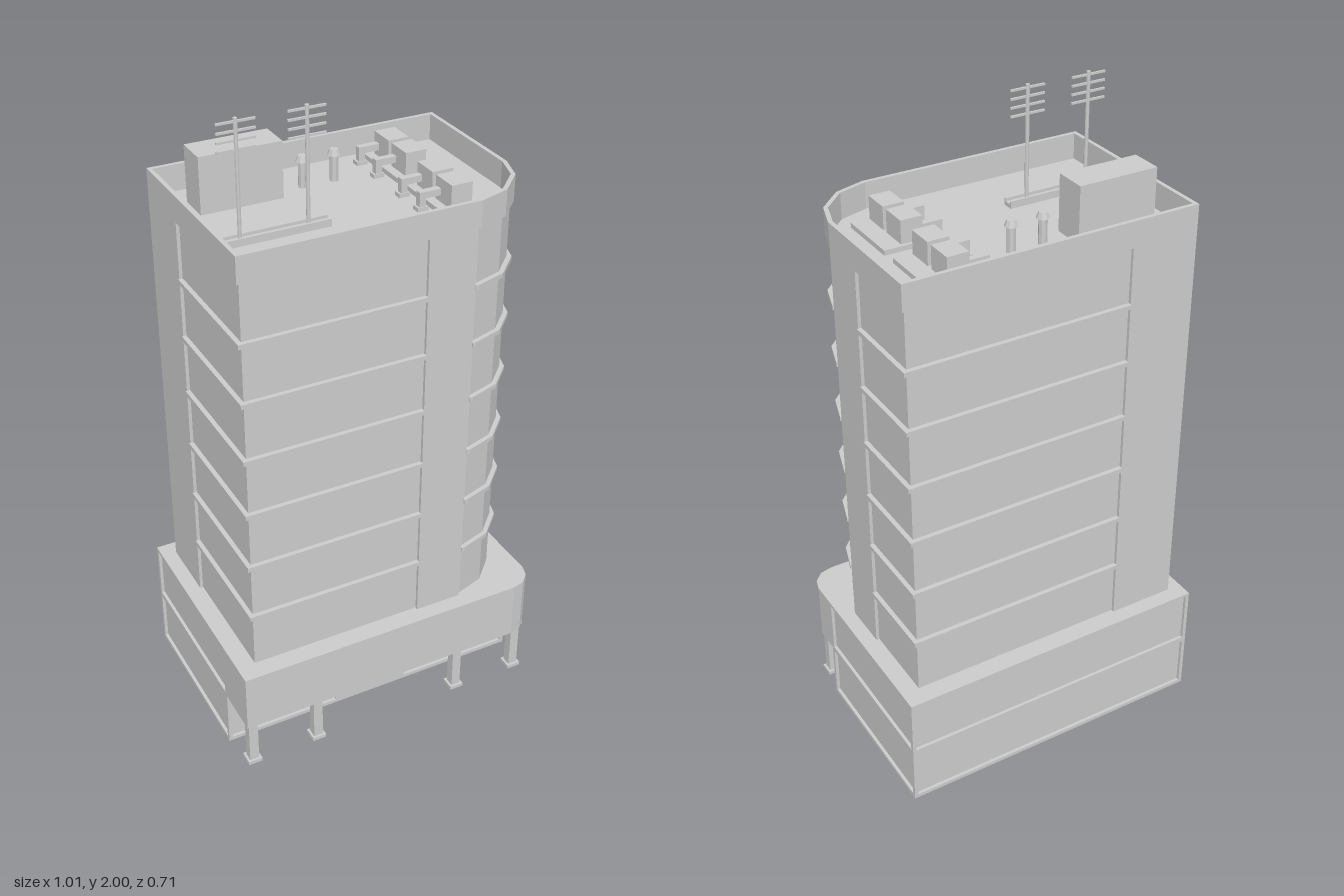
import * as THREE from 'three';

const mat = new THREE.MeshStandardMaterial({ color: 0xcccccc, flatShading: true });
const ROOF = 1.65;

// Outlines are [x, z] points, walked left side -> front -> right side -> back.
const curve = [[0.26, 0.305], [0.355, 0.275], [0.43, 0.2], [0.458, 0.11]];
const tower = [[-0.458, -0.305], [-0.458, 0.305], ...curve, [0.458, -0.305]];

// Moves an outline outwards by d (negative = inwards), with mitred corners.
function offset(pts, d, closed = false) {
  const n = pts.length;
  const normal = (a, b) => {
    const dx = b[0] - a[0], dz = b[1] - a[1], l = Math.hypot(dx, dz);
    return [-dz / l, dx / l];
  };
  return pts.map((p, i) => {
    const prev = closed || i > 0 ? pts[(i + n - 1) % n] : null;
    const next = closed || i < n - 1 ? pts[(i + 1) % n] : null;
    const a = prev ? normal(prev, p) : normal(p, next);
    const b = next ? normal(p, next) : a;
    const k = d / (1 + a[0] * b[0] + a[1] * b[1]);
    return [p[0] + (a[0] + b[0]) * k, p[1] + (a[1] + b[1]) * k];
  });
}

const toVectors = (pts) => pts.map(([x, z]) => new THREE.Vector2(x, -z));

function add(parent, name, geometry, x = 0, y = 0, z = 0) {
  const mesh = new THREE.Mesh(geometry, mat);
  mesh.name = name;
  mesh.position.set(x, y, z);
  parent.add(mesh);
  return mesh;
}

// Upright prism over an outline, optionally with a hole.
function prism(parent, name, pts, y0, y1, hole) {
  const shape = new THREE.Shape(toVectors(pts));
  if (hole) shape.holes.push(new THREE.Path(toVectors(hole)));
  const g = new THREE.ExtrudeGeometry(shape, { depth: y1 - y0, bevelEnabled: false });
  g.rotateX(-Math.PI / 2);
  return add(parent, name, g, 0, y0, 0);
}

// Strip that follows an open outline, reaching from -inner to +outer of it.
function band(parent, name, pts, inner, outer, y0, y1) {
  return prism(parent, name, [...offset(pts, outer), ...offset(pts, -inner).reverse()], y0, y1);
}

// Box given by its limits on each axis.
function block(parent, name, x0, x1, y0, y1, z0, z1) {
  return add(parent, name, new THREE.BoxGeometry(x1 - x0, y1 - y0, z1 - z0),
    (x0 + x1) / 2, (y0 + y1) / 2, (z0 + z1) / 2);
}

function group(parent, name) {
  const g = new THREE.Group();
  g.name = name;
  parent.add(g);
  return g;
}

function buildPodium(root) {
  const g = group(root, 'podium');
  block(g, 'podiumCore', -0.495, 0.495, 0.002, 0.375, -0.345, 0.19);
  // overhanging upper storey with a rounded front corner
  prism(g, 'overhang', [[-0.505, 0.2], [-0.505, 0.355], [0.425, 0.355], [0.465, 0.345],
    [0.495, 0.315], [0.505, 0.28], [0.505, 0.2]], 0.19, 0.38);
  block(g, 'podiumRoof', -0.505, 0.505, 0.37, 0.38, -0.355, 0.2);
  // frames around the side and back panels
  const sides = [[0.505, 0.2], [0.505, -0.355], [-0.505, -0.355], [-0.505, 0.2]];
  for (const [y0, y1] of [[0, 0.012], [0.181, 0.199]]) {
    band(g, 'panelRail', sides, 0.012, 0, y0, y1);
  }
  for (const s of [-1, 1]) {
    block(g, 'backPost', s * 0.499 - 0.006, s * 0.499 + 0.006, 0, 0.375, -0.355, -0.343);
    block(g, 'frontPost', s * 0.499 - 0.006, s * 0.499 + 0.006, 0, 0.375, 0.188, 0.2);
  }
  // shop front with wide windows either side of the entrance
  block(g, 'entranceWall', -0.13, 0.12, 0, 0.19, 0.185, 0.2);
  block(g, 'windowSill', -0.5, 0.5, 0, 0.012, 0.185, 0.2);
  block(g, 'windowHead', -0.5, 0.5, 0.18, 0.192, 0.185, 0.2);
  // pillars
  for (const x of [-0.47, -0.25, 0.25, 0.47]) {
    const p = group(g, 'pillar');
    p.position.set(x, 0, 0.3);
    add(p, 'shaft', new THREE.BoxGeometry(0.03, 0.19, 0.03), 0, 0.095, 0);
    add(p, 'base', new THREE.BoxGeometry(0.045, 0.012, 0.045), 0, 0.006, 0);
    add(p, 'capital', new THREE.BoxGeometry(0.042, 0.012, 0.042), 0, 0.184, 0);
  }
}

function buildTower(root) {
  const g = group(root, 'tower');
  prism(g, 'windowCore', offset(tower, -0.01, true), 0.375, ROOF);
  prism(g, 'parapet', tower, ROOF, 1.73, offset(tower, -0.013, true));
  // solid wall piers between the window bays
  const piers = [
    [[0.1, 0.305], [0.25, 0.305]],
    [[0.458, 0.11], [0.458, -0.04]],
    [[-0.245, -0.305], [-0.458, -0.305], [-0.458, -0.1]],
  ];
  for (const p of piers) band(g, 'pier', p, 0.012, 0, 0.38, ROOF);
  // window bays that wrap three corners, with a ledge at each floor
  const bays = [
    [[-0.458, -0.1], [-0.458, 0.305], [0.1, 0.305]],
    [[0.25, 0.305], ...curve],
    [[0.458, -0.04], [0.458, -0.305], [-0.245, -0.305]],
  ];
  for (const bay of bays) {
    for (let i = 1; i < 7; i++) {
      const y = 0.38 + i * 0.182;
      band(g, 'ledge', bay, 0.012, 0.004, y - 0.007, y + 0.007);
    }
  }
}

function buildRoof(root) {
  const g = group(root, 'roofEquipment');
  block(g, 'penthouse', -0.38, -0.13, ROOF, 1.82, -0.21, -0.11);
  // vent pipes with caps
  for (const x of [-0.05, 0.05]) {
    add(g, 'ventPipe', new THREE.CylinderGeometry(0.013, 0.013, 0.085, 8), x, ROOF + 0.0425, -0.155);
    add(g, 'ventCap', new THREE.CylinderGeometry(0.013, 0.02, 0.018, 8), x, 1.737, -0.155);
  }
  // cooling units on two platforms, each with a duct bending down to the roof
  for (const z0 of [-0.252, 0]) {
    block(g, 'platform', 0.2, 0.35, ROOF, 1.665, z0, z0 + 0.202);
    for (const dz of [0.01, 0.113]) {
      const z = z0 + dz;
      block(g, 'coolingUnit', 0.228, 0.294, 1.665, 1.735, z, z + 0.084);
      block(g, 'duct', 0.165, 0.23, 1.685, 1.705, z + 0.008, z + 0.028);
      block(g, 'ductDrop', 0.162, 0.182, ROOF, 1.705, z + 0.008, z + 0.028);
      block(g, 'ductFoot', 0.155, 0.188, ROOF, 1.662, z + 0.005, z + 0.031);
    }
  }
  // antenna rail
  block(g, 'railWeb', -0.446, -0.092, ROOF, 1.663, 0.082, 0.11);
  block(g, 'railFlange', -0.446, -0.092, ROOF, 1.672, 0.079, 0.085);
  block(g, 'railFlange', -0.446, -0.092, ROOF, 1.672, 0.107, 0.113);
  // antennas
  for (const x of [-0.355, -0.155]) {
    const a = group(g, 'antenna');
    a.position.set(x, 0, 0.097);
    add(a, 'mast', new THREE.CylinderGeometry(0.006, 0.006, 0.35, 8), 0, 1.825, 0);
    for (let i = 0; i < 4; i++) {
      add(a, 'crossbar', new THREE.BoxGeometry(0.11, 0.006, 0.006), 0, 1.915 + i * 0.025, 0);
    }
  }
}

export function createModel() {
  const root = new THREE.Group();
  root.name = 'officeTower';
  buildPodium(root);
  buildTower(root);
  buildRoof(root);
  return root;
}
